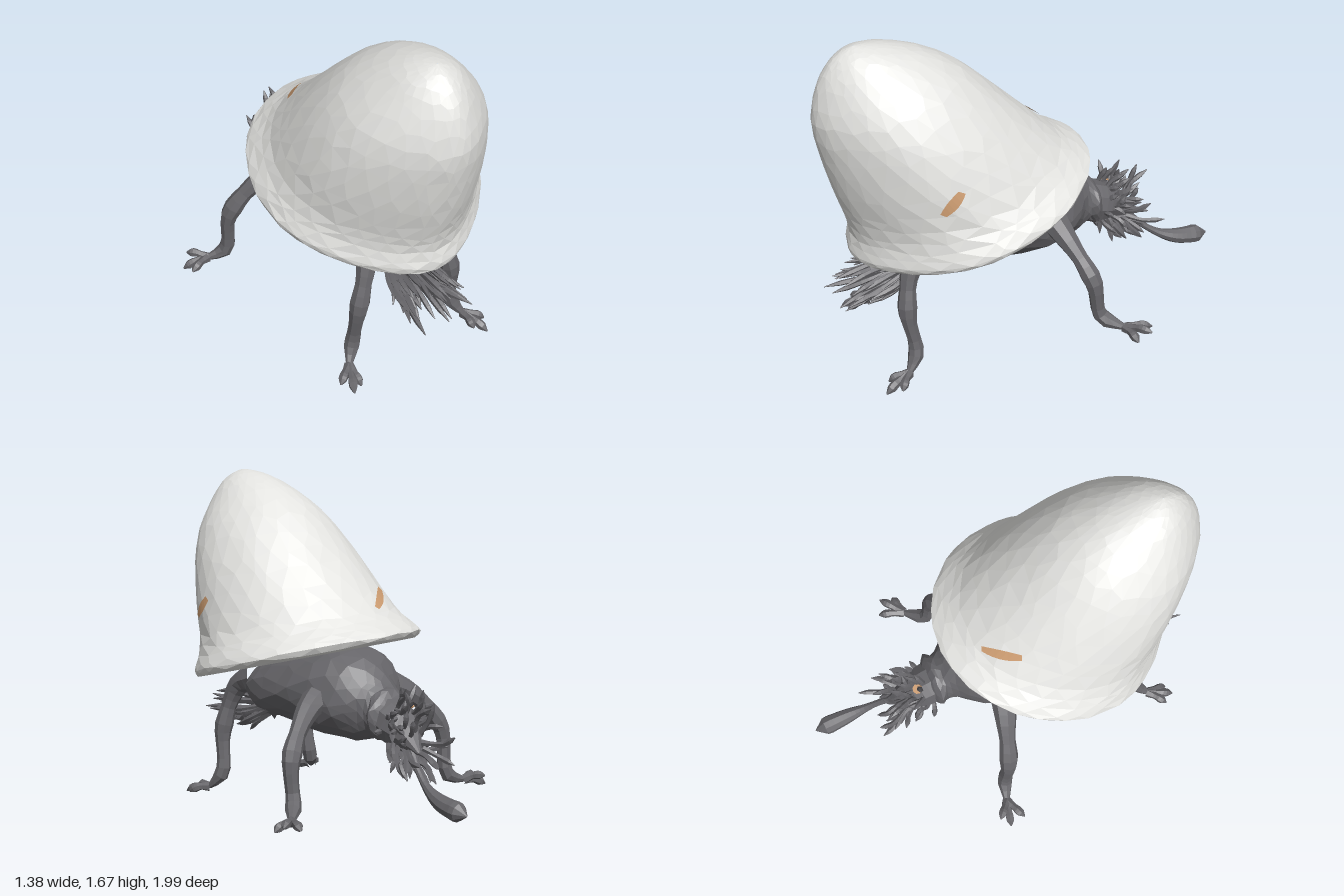
import * as THREE from 'three';
import { mergeGeometries } from 'three/addons/utils/BufferGeometryUtils.js';

const material = (name, color, side = THREE.FrontSide) =>
  Object.assign(new THREE.MeshStandardMaterial({ color, flatShading: true, side }), { name });

let seed = 7;
const rand = () => {
  seed = (seed * 16807) % 2147483647;
  return seed / 2147483647;
};
const spread = (a) => (rand() * 2 - 1) * a;
const vec = (p) => new THREE.Vector3(...p);

// Smoothly interpolated cross-section at v (row index)
function section(rows, v) {
  const i = Math.min(Math.floor(v), rows.length - 2), t = v - i;
  const at = (k) => rows[Math.max(0, Math.min(rows.length - 1, k))];
  return rows[i].map((b, k) => {
    const a = at(i - 1)[k], c = at(i + 1)[k], d = at(i + 2)[k];
    return b + 0.5 * t * (c - a + t * (2 * a - 5 * b + 4 * c - d + t * (3 * (b - c) + d - a)));
  });
}

// Closed loft through point(v, angle), with slightly irregular facets
function loft(point, vMax, rings, sides, flip = false, jitter = 0.25) {
  const pos = [], index = [];
  for (let i = 0; i <= rings; i++)
    for (let j = 0; j < sides; j++) {
      const inner = i > 0 && i < rings ? jitter : 0;
      const v = (vMax * (i + spread(inner))) / rings;
      pos.push(...point(v, (2 * Math.PI * (j + (i % 2) / 2 + spread(inner))) / sides));
    }
  for (let i = 0; i < rings; i++)
    for (let j = 0; j < sides; j++) {
      const k = (j + 1) % sides, r = i * sides, s = r + sides;
      const faces = i % 2
        ? [r + j, r + k, s + k, r + j, s + k, s + j]
        : [r + j, r + k, s + j, r + k, s + k, s + j];
      index.push(...(flip ? faces.reverse() : faces));
    }
  return surface(pos, index);
}

function surface(pos, index) {
  const g = new THREE.BufferGeometry();
  g.setAttribute('position', new THREE.Float32BufferAttribute(pos, 3));
  g.setIndex(index);
  g.computeVertexNormals();
  return g;
}

// Tapering tube through points, radii spaced evenly along the path
function limb(points, radii, segments, sides) {
  const curve = new THREE.CatmullRomCurve3(points.map(vec), false, 'centripetal');
  const g = new THREE.TubeGeometry(curve, segments, 1, sides, false);
  const p = g.attributes.position, q = new THREE.Vector3();
  for (let i = 0; i <= segments; i++) {
    const c = curve.getPointAt(i / segments);
    const r = section(radii.map((x) => [x]), (i / segments) * (radii.length - 1))[0];
    for (let j = 0; j <= sides; j++) {
      const n = i * (sides + 1) + j;
      q.fromBufferAttribute(p, n).sub(c).multiplyScalar(r).add(c);
      p.setXYZ(n, q.x, q.y, q.z);
    }
  }
  g.computeVertexNormals();
  return g;
}

// Shell sections: front z, front y, back z, back y, half width
const OUTER = [
  [0.855, 0.605, -0.29, 0.945, 0.54], [0.865, 0.64, -0.32, 0.985, 0.562],
  [0.85, 0.72, -0.26, 1.02, 0.53], [0.87, 0.82, -0.17, 1.075, 0.485],
  [0.92, 0.98, -0.02, 1.21, 0.445], [0.965, 1.17, 0.13, 1.355, 0.39],
  [0.988, 1.33, 0.29, 1.5, 0.31], [0.955, 1.49, 0.46, 1.6, 0.2],
  [0.9, 1.59, 0.61, 1.65, 0.12], [0.84, 1.645, 0.71, 1.668, 0.05],
  [0.78, 1.67, 0.775, 1.67, 0.002],
];
const INNER = [
  [0.855, 0.605, -0.29, 0.945, 0.54], [0.775, 0.66, -0.197, 0.948, 0.46],
  [0.666, 0.775, -0.044, 0.985, 0.34], [0.663, 0.974, 0.069, 1.15, 0.29],
  [0.566, 1.107, 0.222, 1.209, 0.17], [0.402, 1.18, 0.398, 1.18, 0.002],
];
const shellPoint = (rows) => (v, a) => {
  const [fz, fy, bz, by, w] = section(rows, v);
  const t = (1 + Math.cos(a)) / 2, narrow = 1 - 0.26 * Math.max(0, Math.cos(a)) ** 2;
  return [0.04 + w * narrow * Math.sin(a), by + (fy - by) * t, bz + (fz - bz) * t];
};

// Thin worn mark lying on the shell between two (v, angle) positions
function shellMark([v0, a0], [v1, a1], width) {
  const pos = [], index = [], n = 6, point = shellPoint(OUTER);
  const centre = new THREE.Vector3(0.04, 1.05, 0.4);
  for (let i = 0; i <= n; i++) {
    const t = i / n, half = width * (0.35 + 0.65 * Math.sin(Math.PI * (0.1 + 0.75 * t)));
    for (const s of [-1, 1]) {
      const p = vec(point(v0 + (v1 - v0) * t - s * half * 3, a0 + (a1 - a0) * t + s * half));
      p.add(p.clone().sub(centre).setLength(0.009));
      pos.push(p.x, p.y, p.z);
    }
    if (i < n) index.push(2 * i, 2 * i + 1, 2 * i + 2, 2 * i + 1, 2 * i + 3, 2 * i + 2);
  }
  return surface(pos, index);
}

// Body sections: z, centre y, half height, half width
const BODY = [
  [-0.44, 0.61, 0.005, 0.005], [-0.41, 0.61, 0.08, 0.09], [-0.375, 0.62, 0.12, 0.135],
  [-0.34, 0.63, 0.12, 0.115], [-0.29, 0.645, 0.155, 0.14], [-0.2, 0.67, 0.205, 0.215],
  [-0.05, 0.68, 0.225, 0.265], [0.15, 0.66, 0.19, 0.28], [0.4, 0.62, 0.145, 0.25],
  [0.53, 0.61, 0.11, 0.18], [0.6, 0.61, 0.06, 0.09], [0.62, 0.61, 0.004, 0.005],
];

// Leg joints from hip to paw, then toe tips
const LEGS = {
  frontLeftLeg: [[[0.18, 0.66, 0.48], [0.21, 0.6, 0.6], [0.27, 0.37, 0.66], [0.3, 0.14, 0.635], [0.345, 0.06, 0.69]],
    [[0.43, 0.035, 0.75], [0.4, 0.015, 0.82], [0.34, 0.04, 0.79]]],
  frontRightLeg: [[[-0.12, 0.66, 0.48], [-0.17, 0.6, 0.6], [-0.25, 0.36, 0.66], [-0.27, 0.12, 0.635], [-0.32, 0.05, 0.69]],
    [[-0.41, 0.03, 0.76], [-0.37, 0.005, 0.82], [-0.32, 0.01, 0.8]]],
  rearLeftLeg: [[[0.2, 0.7, -0.08], [0.33, 0.63, -0.12], [0.48, 0.45, -0.2], [0.5, 0.25, -0.24], [0.58, 0.21, -0.33]],
    [[0.69, 0.19, -0.35], [0.62, 0.21, -0.455], [0.69, 0.23, -0.42]]],
  rearRightLeg: [[[-0.15, 0.7, -0.08], [-0.32, 0.61, -0.14], [-0.46, 0.43, -0.19], [-0.48, 0.19, -0.22], [-0.57, 0.15, -0.25]],
    [[-0.69, 0.11, -0.28], [-0.68, 0.14, -0.2], [-0.65, 0.17, -0.32]]],
};

// Tuft of bent, blunt strands fanning out from a core
function tuft(count, root, tip) {
  const strands = [];
  for (let i = 0; i < count; i++) {
    const a = i * 2.4, t = rand(), [c, s] = [Math.cos(a), Math.sin(a)];
    const p = root(t, c, s), q = tip(t, c, s);
    const mid = p.map((x, k) => (x + q[k]) / 2 + spread(0.025));
    strands.push(limb([p, mid, q], [0.014, 0.012, 0.011, 0.013, 0.013, 0.002], 10, 5));
  }
  return mergeGeometries(strands);
}

export function createModel() {
  const model = new THREE.Group();
  const white = material('shellWhite', 0xe3e3e0);
  const tan = material('shellTan', 0xcb9b70, THREE.DoubleSide);
  const grey = material('bodyGrey', 0x67666a);
  const add = (name, geometry, mat) => {
    const mesh = new THREE.Mesh(geometry, mat);
    mesh.name = name;
    model.add(mesh);
    return mesh;
  };

  // Bell-shaped shell with its lining and worn marks
  add('shell', loft(shellPoint(OUTER), OUTER.length - 1, 20, 30), white);
  add('shellLining', loft(shellPoint(INNER), INNER.length - 1, 10, 30, true, 0.1), tan);
  add('sideMark', shellMark([3.62, 1.31], [4.05, 1.58], 0.03), tan);
  add('backMark', shellMark([3.1, 3.37], [3.63, 3.7], 0.032), tan);

  // Wrinkled body
  add('body', loft((v, a) => {
    const [z, y, h, w] = section(BODY, v);
    const lump = 1 + 0.03 * Math.sin(5 * a + 3 * v);
    return [0.035 + w * lump * Math.cos(a), y + h * lump * Math.sin(a), z];
  }, BODY.length - 1, 22, 18), grey);

  // Legs with three toes each
  for (const [name, [joints, toes]] of Object.entries(LEGS)) {
    const paw = joints[joints.length - 1];
    add(name, mergeGeometries([
      limb(joints, [0.078, 0.064, 0.05, 0.04, 0.048, 0.037, 0.034, 0.038, 0.014], 16, 8),
      ...toes.map((tip) => {
        const mid = paw.map((x, k) => x * 0.45 + tip[k] * 0.55);
        mid[1] += 0.012;
        return limb([paw, mid, tip], [0.026, 0.022, 0.018, 0.022, 0.02, 0.003], 9, 6);
      }),
    ]), grey);
  }

  // Rear neck with a small spot, mane and clubbed tail
  add('neck', limb([[0.035, 0.61, -0.36], [0.04, 0.57, -0.48], [0.07, 0.5, -0.62]], [0.11, 0.1, 0.06, 0.01], 8, 10), grey);
  const spot = add('neckSpot', new THREE.CylinderGeometry(0.025, 0.025, 0.008, 8), tan);
  spot.position.set(0, 0.69, -0.47);
  spot.rotation.set(-0.5, 0, 0.3);
  add('mane', tuft(76,
    (t, c, s) => [0.035 + 0.05 * c, 0.59 - 0.08 * t + 0.06 * s, -0.4 - 0.16 * t],
    (t, c, s) => [0.04 + 0.12 * c + spread(0.03), 0.57 - 0.03 * t + 0.19 * s + spread(0.05), -0.48 - 0.2 * t + spread(0.06)]), grey);
  add('tail', limb([[0.06, 0.52, -0.55], [0.1, 0.43, -0.65], [0.12, 0.37, -0.74], [0.13, 0.335, -0.84], [0.13, 0.32, -1.0]],
    [0.025, 0.02, 0.018, 0.016, 0.018, 0.024, 0.033, 0.04, 0.044, 0.044, 0.003], 20, 9), grey);

  // Front beard below the shell rim
  add('beardBase', limb([[0.03, 0.56, 0.45], [0.03, 0.48, 0.55], [0.03, 0.43, 0.66]], [0.08, 0.08, 0.05, 0.01], 7, 9), grey);
  add('beard', tuft(60,
    (t, c, s) => [0.03 + 0.05 * c, 0.5 - 0.04 * t + 0.04 * s, 0.5 + 0.1 * t],
    (t, c, s) => [0.03 + 0.13 * c + spread(0.03), 0.41 + 0.01 * t + 0.09 * s + spread(0.03), 0.7 + 0.23 * t + spread(0.06)]), grey);

  return model;
}
